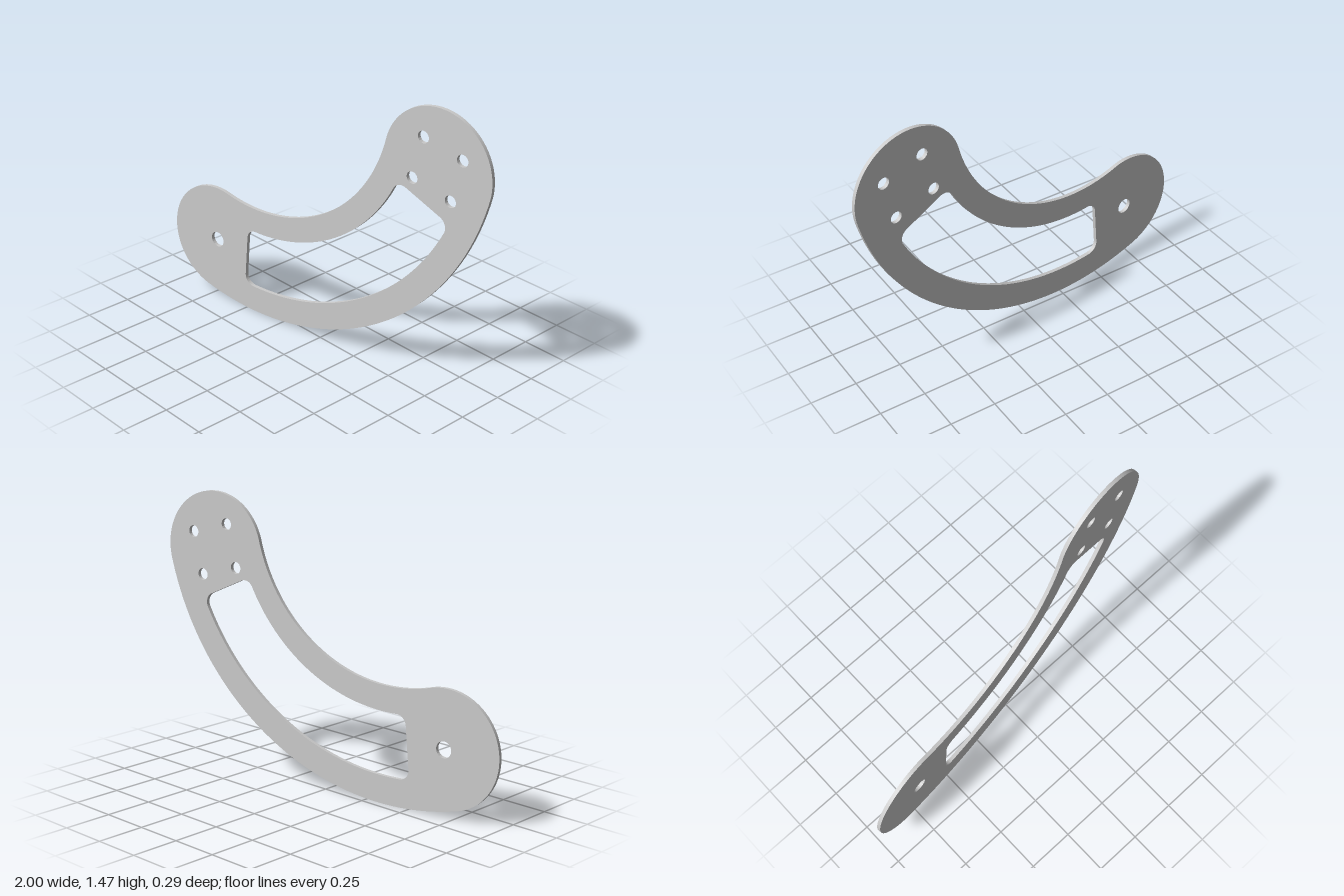
import * as THREE from 'three';
import { toCreasedNormals } from 'three/addons/utils/BufferGeometryUtils.js';

const rad = THREE.MathUtils.degToRad;
const PI = Math.PI;

// Every arc of the plate shares this centre
const CX = -0.4, CY = 1.441;
const MID = 1.1375;              // radius of the arm's centre line
const END = 0.304;               // half width of the arm, radius of its round ends
const LEFT = rad(-105.5), RIGHT = rad(-14.1);
const THICK = 0.02;

const polar = (r, a) => [CX + r * Math.cos(a), CY + r * Math.sin(a)];

// Curved arm with a round at each end
function armOutline() {
  const s = new THREE.Shape();
  s.absarc(CX, CY, MID + END, LEFT, RIGHT, false);
  s.absarc(...polar(MID, RIGHT), END, RIGHT, RIGHT + PI, false);
  s.absarc(CX, CY, MID - END, RIGHT, LEFT, true);
  s.absarc(...polar(MID, LEFT), END, LEFT + PI, LEFT + 2 * PI, false);
  return s;
}

// Arc-shaped window with radial ends and filleted corners
function slot(inner, outer, a0, a1, f) {
  const ri = inner + f, ro = outer - f;
  const oi = Math.asin(f / ri), oo = Math.asin(f / ro);
  const p = new THREE.Path();
  p.absarc(CX, CY, outer, a0 + oo, a1 - oo, false);
  p.absarc(...polar(ro, a1 - oo), f, a1 - oo, a1 + PI / 2, false);
  p.absarc(...polar(ri, a1 - oi), f, a1 + PI / 2, a1 - oi + PI, false);
  p.absarc(CX, CY, inner, a1 - oi, a0 + oi, true);
  p.absarc(...polar(ri, a0 + oi), f, a0 + oi + PI, a0 + 1.5 * PI, false);
  p.absarc(...polar(ro, a0 + oo), f, a0 - PI / 2, a0 + oo, false);
  return p;
}

const hole = (x, y, r) => new THREE.Path().absarc(x, y, r, 0, 2 * PI, true);

export function createModel() {
  const shape = armOutline();
  shape.holes.push(slot(0.966, 1.296, rad(-94.9), rad(-24.4), 0.055));

  // Pivot hole in the left round
  shape.holes.push(hole(...polar(MID, LEFT), 0.042));

  // Square pattern of four bolt holes in the right round
  const [bx, by] = polar(MID, RIGHT);
  for (let i = 0; i < 4; i++) {
    const a = rad(-14.6 + 45 + 90 * i), d = 0.1615;
    shape.holes.push(hole(bx + d * Math.cos(a), by + d * Math.sin(a), 0.031));
  }

  const geo = new THREE.ExtrudeGeometry(shape, { depth: THICK, bevelEnabled: false, curveSegments: 48 });
  geo.translate(0, 0, -THICK / 2);
  const plate = new THREE.Mesh(
    toCreasedNormals(geo, rad(30)),
    new THREE.MeshStandardMaterial({ color: 0xcccccc })
  );
  plate.name = 'slottedArmPlate';
  plate.rotation.y = 0.135;      // plate stands slightly turned

  const group = new THREE.Group();
  group.name = 'curvedBracket';
  group.add(plate);
  return group;
}
